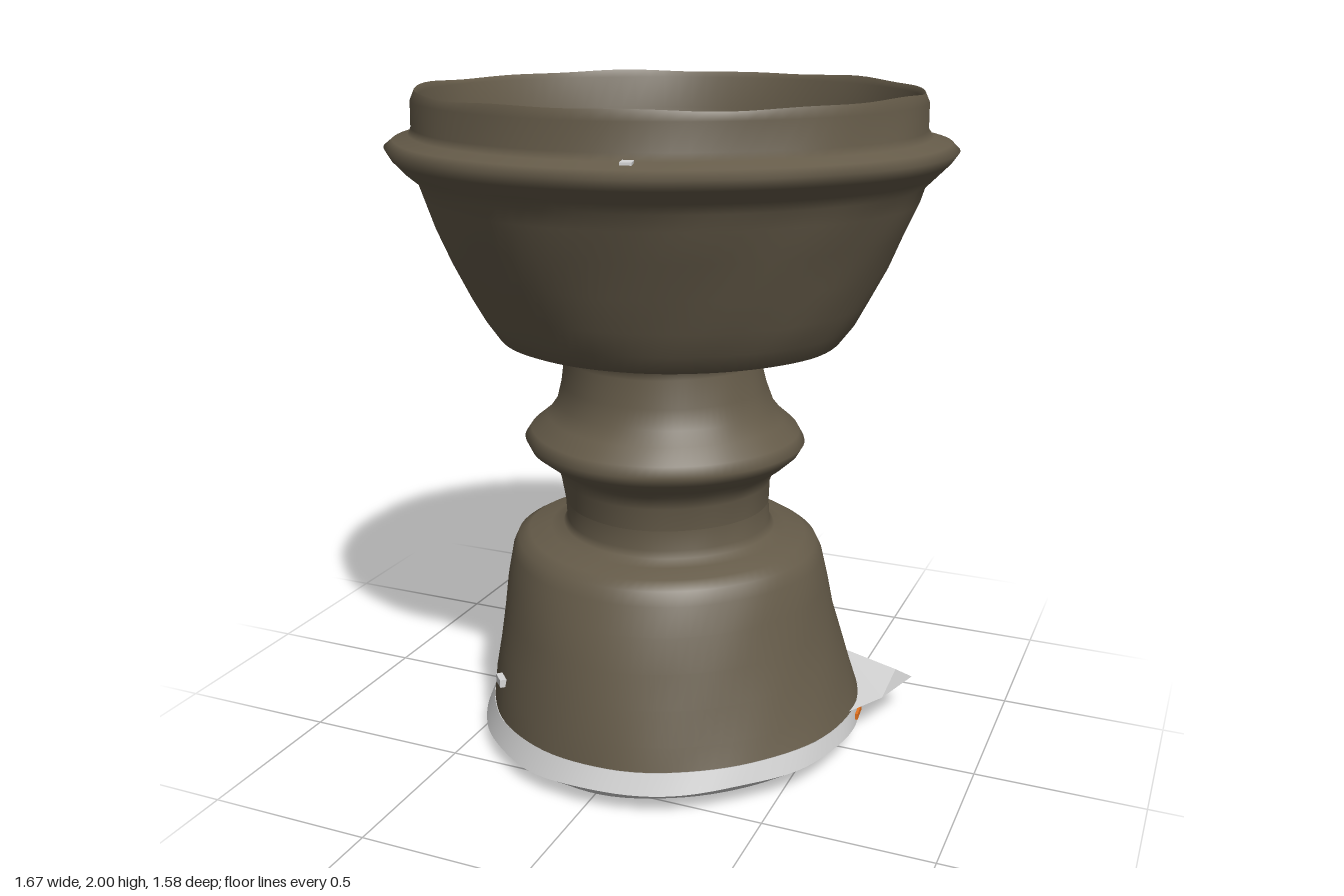
import * as THREE from 'three';

const SEG = 96;

// Gentle hand-made unevenness, slightly flattened on the diagonals
const wobble = (a, y) =>
  -0.008 * (1 - Math.cos(4 * a)) + 0.003 * Math.sin(3 * a + 5 * y) +
  0.002 * Math.sin(7 * a - 11 * y) + 0.0015 * Math.sin(13 * a + 23 * y);

// Loft through elliptical rings [y, xMin, xMax, zMin, zMax]; lift(angle, ring) shifts heights
function loft(rings, lift = () => 0) {
  const pos = [], idx = [];
  rings.forEach(([y, x0, x1, z0, z1], i) => {
    for (let j = 0; j < SEG; j++) {
      const a = (j / SEG) * Math.PI * 2, k = 1 + wobble(a, y);
      pos.push(
        (x0 + x1) / 2 + ((x1 - x0) / 2) * Math.cos(a) * k,
        y + lift(a, i),
        (z0 + z1) / 2 + ((z1 - z0) / 2) * Math.sin(a) * k);
      if (i === rings.length - 1) continue;
      const p = i * SEG + j, q = i * SEG + ((j + 1) % SEG);
      idx.push(p, p + SEG, q, q, p + SEG, q + SEG);
    }
  });
  const g = new THREE.BufferGeometry();
  g.setAttribute('position', new THREE.Float32BufferAttribute(pos, 3));
  g.setIndex(idx);
  g.computeVertexNormals();
  return g;
}

// Ring with the bowl's slightly oval plan
const oval = ([y, x0, x1]) => [y, x0, x1, x0 * 0.947, x1 * 0.947];

// Uneven heights of the foot's lower edges and of the rim
const clayEdge = (a) => 0.017 * Math.cos(a) + 0.013 * Math.sin(a);
const brokenEdge = (a) => 0.025 * Math.cos(a) + 0.014 * Math.sin(a) + 0.003 * Math.sin(9 * a);
const lipEdge = (a) => 0.022 * Math.cos(a) + 0.002 * Math.sin(7 * a);
const rimEdge = (a) => 0.003 * Math.sin(5 * a) + 0.002 * Math.sin(11 * a) - 0.004 * Math.sin(a);

export function createModel() {
  const group = new THREE.Group();
  const mat = (name, color) => {
    const m = new THREE.MeshStandardMaterial({ color, side: THREE.DoubleSide });
    m.name = name;
    return m;
  };
  const clay = mat('brown clay', 0x655b49);
  const pale = mat('pale grey', 0xd6d6d6);
  const orange = mat('orange', 0xe8741f);
  const add = (name, geometry, material) => {
    const m = new THREE.Mesh(geometry, material);
    m.name = name;
    group.add(m);
    return m;
  };

  // Flared hollow foot
  add('foot', loft([
    [0.115, -0.55, 0.615, -0.595, 0.603],
    [0.2, -0.54, 0.588, -0.58, 0.588],
    [0.3, -0.525, 0.555, -0.558, 0.562],
    [0.4, -0.512, 0.525, -0.535, 0.535],
    [0.5, -0.505, 0.503, -0.512, 0.505],
    [0.58, -0.497, 0.483, -0.487, 0.468],
    [0.62, -0.478, 0.463, -0.468, 0.452],
    [0.642, -0.44, 0.43, -0.43, 0.42],
    [0.655, -0.37, 0.37, -0.365, 0.36],
    [0.67, -0.328, 0.335, -0.325, 0.325],
    [0.69, -0.316, 0.32, -0.311, 0.312],
    [0.75, -0.319, 0.316, -0.309, 0.313],
  ], (a, i) => (i === 0 ? clayEdge(a) : 0)), clay);

  // Stem with a rounded collar
  add('stem', loft([
    [0.75, -0.319, 0.316, -0.309, 0.313],
    [0.82, -0.33, 0.32, -0.311, 0.322],
    [0.86, -0.34, 0.335, -0.325, 0.335],
    [0.885, -0.375, 0.37, -0.365, 0.37],
    [0.92, -0.422, 0.408, -0.402, 0.412],
    [0.95, -0.437, 0.425, -0.414, 0.427],
    [0.98, -0.417, 0.407, -0.402, 0.412],
    [1.02, -0.367, 0.362, -0.352, 0.362],
    [1.06, -0.338, 0.33, -0.32, 0.33],
    [1.12, -0.322, 0.308, -0.298, 0.315],
    [1.2, -0.31, 0.288, -0.28, 0.305],
    [1.235, -0.315, 0.285, -0.285, 0.305],
    [1.255, -0.35, 0.33, -0.33, 0.34],
  ]), clay);

  // Bowl outside with the projecting ledge and upright rim
  add('bowlOutside', loft([
    [1.255, -0.35, 0.33, -0.33, 0.34],
    [1.257, -0.46, 0.47, -0.43, 0.43],
    ...[
      [1.275, -0.515, 0.525], [1.33, -0.55, 0.567], [1.4, -0.592, 0.602], [1.5, -0.647, 0.65],
      [1.6, -0.692, 0.692], [1.69, -0.722, 0.734], [1.735, -0.742, 0.747], [1.765, -0.787, 0.777],
      [1.8, -0.822, 0.813], [1.83, -0.836, 0.835], [1.852, -0.807, 0.814], [1.865, -0.765, 0.76],
      [1.885, -0.759, 0.744], [1.96, -0.757, 0.744], [1.99, -0.744, 0.732],
    ].map(oval),
  ], (a, i) => (i === 16 ? rimEdge(a) : 0)), clay);

  // Bowl inside, rounding down to an open floor
  add('bowlInside', loft([
    ...[
      [1.99, -0.744, 0.732], [1.975, -0.73, 0.72], [1.88, -0.712, 0.702], [1.75, -0.686, 0.68],
      [1.6, -0.632, 0.635], [1.5, -0.575, 0.58], [1.42, -0.51, 0.52], [1.36, -0.44, 0.45],
    ].map(oval),
    [1.33, -0.35, 0.37, -0.31, 0.33],
    [1.315, -0.24, 0.28, -0.2, 0.22],
  ], (a, i) => (i === 0 ? rimEdge(a) : 0)), clay);

  // Broken pale edge under the foot, with a narrow lip turned inward
  add('footEdge', loft([
    [0.05, -0.578, 0.625, -0.608, 0.628],
    [0.115, -0.552, 0.617, -0.597, 0.605],
  ], (a, i) => (i ? clayEdge(a) : brokenEdge(a))), pale);
  add('footLip', loft([
    [0.024, -0.525, 0.58, -0.572, 0.575],
    [0.05, -0.578, 0.625, -0.608, 0.628],
  ], (a, i) => (i ? brokenEdge(a) : lipEdge(a))), pale);

  // Jagged flake sticking out of the foot edge
  const flake = new THREE.BufferGeometry();
  flake.setAttribute('position', new THREE.Float32BufferAttribute([
    0.61, 0.14, 0.03, 0.67, 0.11, -0.16, 0.73, 0.13, -0.3, 0.66, 0.11, -0.37, 0.47, 0.125, -0.42,
    0.6, 0.085, -0.25,
  ], 3));
  flake.setIndex([0, 1, 4, 1, 3, 4, 1, 2, 3, 0, 5, 1, 1, 5, 2, 2, 5, 3, 3, 5, 4]);
  const flakeGeometry = flake.toNonIndexed();
  flakeGeometry.computeVertexNormals();
  add('edgeFlake', flakeGeometry, pale);

  // Thin chips: name, material, size, position, turn about y
  [
    ['floorSliver', orange, [0.02, 0.008, 0.15], [0.305, 1.323, 0.02], 0.08],
    ['footSliver', orange, [0.008, 0.02, 0.07], [0.621, 0.1, -0.06], 0.1],
    ['footChip', pale, [0.05, 0.025, 0.02], [-0.385, 0.225, 0.4], -0.82],
    ['ledgeChip', pale, [0.03, 0.008, 0.05], [0.195, 1.866, 0.715], 0.3],
  ].forEach(([name, material, size, position, turn]) => {
    const chip = add(name, new THREE.BoxGeometry(...size), material);
    chip.position.set(...position);
    chip.rotation.y = turn;
  });

  // Torn patch on the underside of the bowl beside the stem
  [
    ['tornPatch', pale, 0.345, 0.44, -0.36, 0.82, 1.251],
    ['tornPatchCore', orange, 0.335, 0.41, -0.2, 0.44, 1.249],
  ].forEach(([name, material, inner, outer, start, sweep, y]) => {
    const patch = add(name, new THREE.RingGeometry(inner, outer, 10, 1, start, sweep), material);
    patch.rotation.x = Math.PI / 2;
    patch.position.y = y;
  });

  return group;
}
